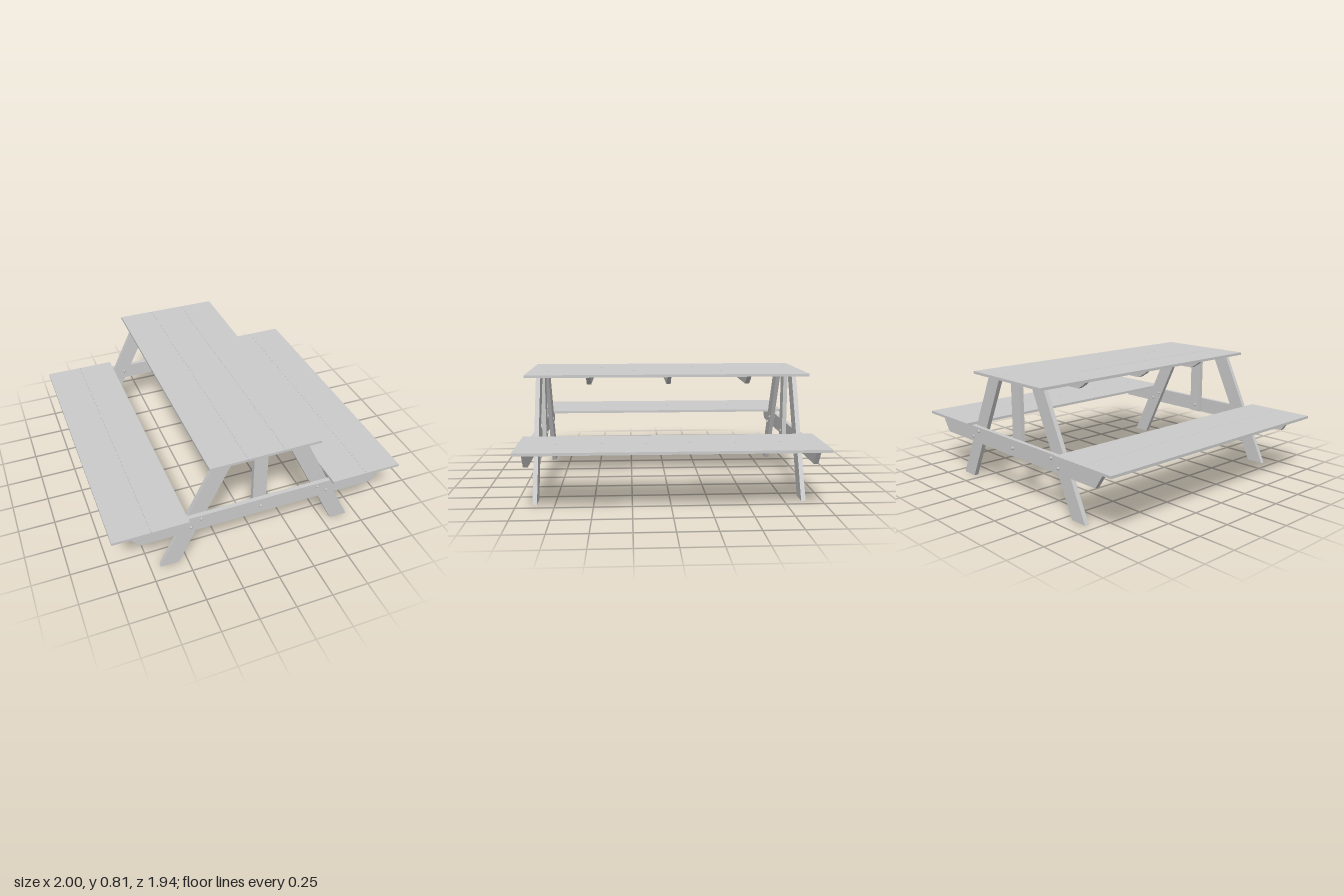
import * as THREE from 'three';

export function createModel() {
  const table = new THREE.Group();
  table.name = 'picnicTable';
  const wood = new THREE.MeshStandardMaterial({ color: 0xcccccc, flatShading: true });
  const metal = new THREE.MeshStandardMaterial({ color: 0xcccccc });

  const add = (parent, name, geometry, material = wood) => {
    const mesh = new THREE.Mesh(geometry, material);
    mesh.name = name;
    parent.add(mesh);
    return mesh;
  };

  // Board cut to an outline in x/y, spanning z0 to z1
  const board = (parent, name, outline, z0, z1) => {
    const shape = new THREE.Shape(outline.map(([x, y]) => new THREE.Vector2(x, y)));
    const geometry = new THREE.ExtrudeGeometry(shape, { depth: z1 - z0, bevelEnabled: false });
    geometry.translate(0, 0, z0);
    return add(parent, name, geometry);
  };

  // Row of long planks lying side by side
  const planks = (name, x0, x1, y0, y1, count) => {
    const group = new THREE.Group();
    group.name = name;
    const width = (x1 - x0) / count;
    for (let i = 0; i < count; i++) {
      const plank = add(group, 'plank', new THREE.BoxGeometry(width - 0.001, y1 - y0, 1.938));
      plank.position.set(x0 + width * (i + 0.5), (y0 + y1) / 2, 0);
    }
    table.add(group);
  };
  planks('tabletop', -0.372, 0.372, 0.788, 0.806, 3);
  planks('rightBench', -1, -0.5, 0.397, 0.415, 2);
  planks('leftBench', 0.5, 1, 0.397, 0.415, 2);

  // Through bolt with a slightly domed head at both ends
  const boltGeometry = (z0, z1) => {
    const h = (z1 - z0) / 2;
    const profile = [[0, -h], [0.006, -h], [0.011, -h + 0.006], [0.011, h - 0.006], [0.006, h], [0, h]];
    const geometry = new THREE.LatheGeometry(profile.map(([r, y]) => new THREE.Vector2(r, y)), 12);
    geometry.rotateX(Math.PI / 2);
    geometry.translate(0, 0, (z0 + z1) / 2);
    return geometry;
  };

  // End frame: two splayed legs, centre post, bench beam and bolts
  const endFrame = (name, legZ, beamZ, boltZ) => {
    const frame = new THREE.Group();
    frame.name = name;
    for (const s of [-1, 1]) {
      board(frame, s < 0 ? 'rightLeg' : 'leftLeg',
        [[s * 0.56, 0], [s * 0.685, 0], [s * 0.297, 0.788], [s * 0.173, 0.788]], ...legZ);
    }
    board(frame, 'centrePost', [[-0.047, 0.29], [0.047, 0.29], [0.047, 0.788], [-0.047, 0.788]], ...legZ);
    board(frame, 'benchBeam', [[-0.822, 0.285], [0.822, 0.285], [0.9, 0.397], [-0.9, 0.397]], ...beamZ);
    for (const [x, y] of [[-0.48, 0.32], [-0.41, 0.37], [0, 0.34], [0.41, 0.37], [0.48, 0.32]]) {
      add(frame, 'bolt', boltGeometry(...boltZ), metal).position.set(x, y, 0);
    }
    table.add(frame);
  };
  endFrame('frontFrame', [0.867, 0.897], [0.897, 0.927], [0.859, 0.935]);
  endFrame('backFrame', [-0.893, -0.863], [-0.929, -0.899], [-0.937, -0.855]);

  // Battens joining the tabletop planks underneath
  for (const z of [0.54, -0.01, -0.56]) {
    board(table, 'batten',
      [[-0.25, 0.727], [0.25, 0.727], [0.302, 0.758], [0.34, 0.788], [-0.34, 0.788], [-0.302, 0.758]],
      z - 0.015, z + 0.015);
  }

  return table;
}
